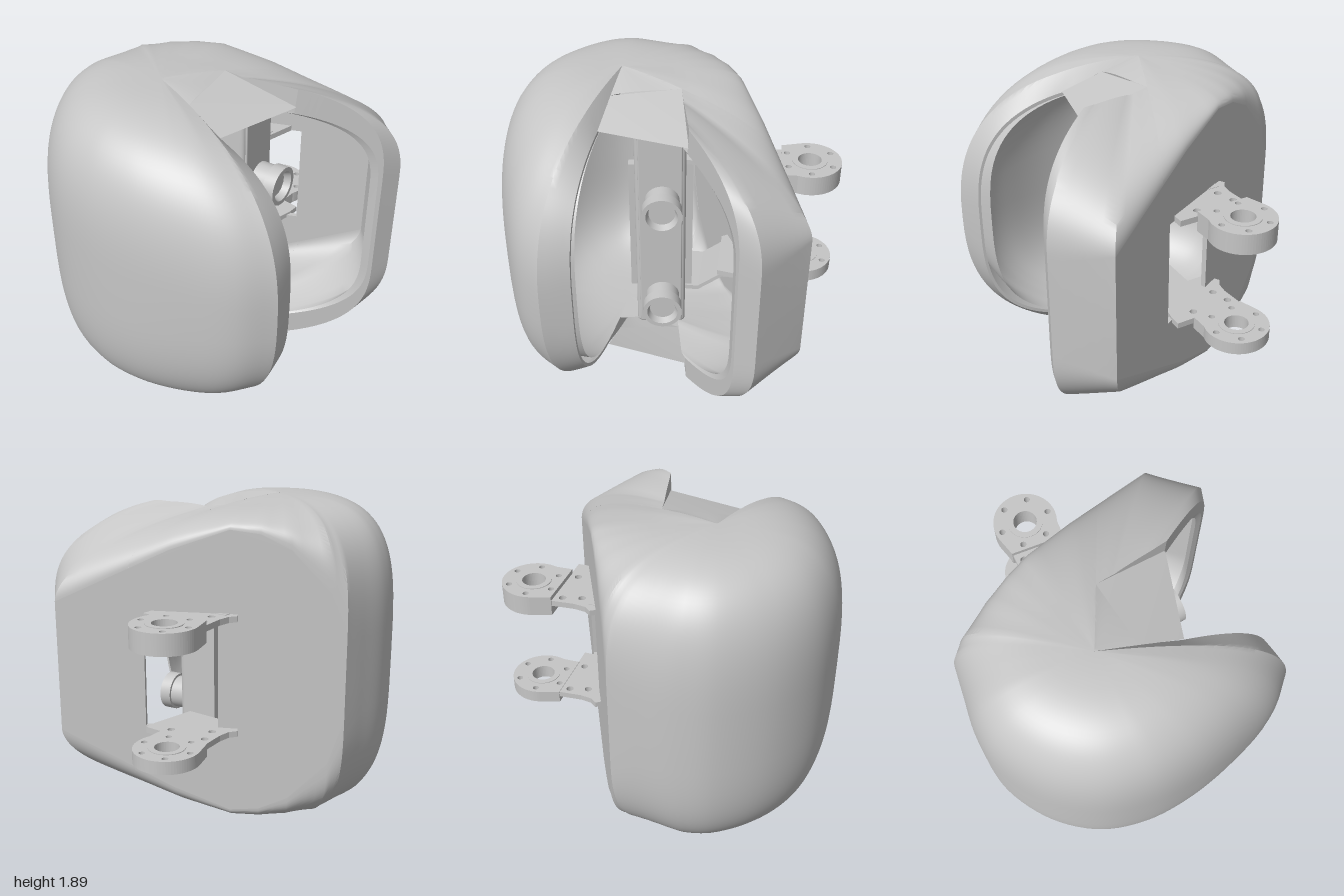
import * as THREE from 'three';
import { mergeGeometries, toCreasedNormals } from 'three/addons/utils/BufferGeometryUtils.js';
import { RoundedBoxGeometry } from 'three/addons/geometries/RoundedBoxGeometry.js';

const MID = 0.948;              // height of the symmetry plane
const CX = -0.18, CZ = 0.3;     // axis from which the shell ribs radiate
const A = { x: -0.03, z: -0.06 }, B = { x: 0.41, z: -0.15 };   // rear edge of the scoop
const RINGS = 26;
const V = (x, y, z) => new THREE.Vector3(x, y, z);
const lerp = THREE.MathUtils.lerp;

// Rib: plan position of its end, half height of its end, roundness, crown height, virtual reach
const rib = (x, z, h, n, H, R) => ({ x, z, h, n, H, R });
const lip = rib(0.85, 0.43, 0, 3.1, 0.81);
const front = [
  rib(0.9, 0.6, 0, 2.6, 0.92), rib(0.75, 0.76, 0, 2.7, 0.94), rib(0.5, 0.88, 0, 3, 0.945),
  rib(0.2, 0.97, 0, 3.3, 0.945), rib(-0.1, 1, 0, 3.5, 0.945), rib(-0.4, 0.945, 0, 3.5, 0.945),
  rib(-0.67, 0.77, 0, 3.5, 0.945), rib(-0.86, 0.5, 0, 3.7, 0.945), rib(-0.905, 0.3, 0, 3.8, 0.945),
  rib(-0.895, 0.08, 0.05, 3.5, 0.945), rib(-0.88, -0.09, 0.22, 3.1, 0.945)];
const back = [
  front[10], rib(-0.8, -0.13, 0.5, 3, 0.945), rib(-0.6, -0.23, 0.73, 2.8, 0.94),
  rib(-0.45, -0.305, 0.81, 2.6, 0.935), rib(-0.3, -0.38, 0.83, 2.4, 0.93),
  rib(0, -0.53, 0.71, 2.1, 0.93), rib(0.2095, -0.6347, 0.598, 1.95, 0.925)];
const backCut = [back[6], rib(0.3, -0.68, 0.55, 1.9, 0.925), rib(0.6, -0.83, 0.39, 1.75, 0.93)];
const rear = [backCut[2], rib(0.86, -0.58, 0.3, 2.6, 0.94), rib(0.82, -0.46, 0.3, 3, 0.95)];
const mouth = [rib(A.x, A.z, 0.598, 1.95, 0.925, 1.0126), rib(0.05, 0.329, 0, 3.1, 0.81, 1.038)];

// Straight blending between ribs
function blend(ribs, steps) {
  const out = [];
  for (let i = 0; i < ribs.length - 1; i++) for (let j = 0; j < steps; j++) {
    const a = ribs[i], b = ribs[i + 1], f = j / steps, r = {};
    for (const k of ['x', 'z', 'h', 'n', 'H']) r[k] = lerp(a[k], b[k], f);
    if (a.R) r.R = lerp(a.R, b.R, f);
    out.push(r);
  }
  return [...out, ribs[ribs.length - 1]];
}

// Curved blending for the round front
function blendSmooth(ribs, steps) {
  const curve = new THREE.CatmullRomCurve3(ribs.map(r => V(r.x, r.h, r.z)));
  const list = blend(ribs, steps);
  list.forEach((r, i) => {
    if (i % steps === 0) return;
    const p = curve.getPoint(i / (list.length - 1));
    r.x = p.x; r.z = p.z; r.h = Math.max(0, p.y);
  });
  return list;
}

// Points along one rib, from the crown (or the scoop edge when cut) to the middle
function ribPoints(r, { inner = false, wall = false, cut = false, k = 0.93 }) {
  const dx = r.x - CX, dz = r.z - CZ, d = Math.hypot(dx, dz);
  const reach = r.R ?? d;
  const angle = dist => Math.asin(Math.pow(Math.min(1, dist / reach), r.n / 2));
  const ex = B.x - A.x, ez = B.z - A.z;
  const edge = d * ((A.x - CX) * ez - (A.z - CZ) * ex) / (dx * ez - dz * ex);
  const start = cut ? angle(edge) : 0, end = angle(d);
  const scale = inner && !r.R ? k : 1, h = inner ? r.h * 0.88 : r.h, pts = [];
  for (let j = 0; j <= RINGS; j++) {
    const a = lerp(start, end, j / RINGS);
    const s = Math.pow(Math.sin(a), 2 / r.n);
    const c = Math.pow(Math.max(0, Math.cos(a)), 2 / r.n);
    const top = inner ? 0.79 : lerp(0.945, r.H, Math.min(1, s / 0.45));
    const q = s * reach * scale / d;
    pts.push(V(CX + dx * q, h + (top - h) * c, CZ + dz * q));
  }
  const last = pts[RINGS];
  pts.push(wall ? V(last.x, 0, last.z) : last.clone());
  return pts;
}

// Skin over columns of points, mirrored about the middle plane
function sheet(cols, flip = false) {
  const pos = [], idx = [], m = cols[0].length, total = cols.length * m;
  for (const sg of [1, -1]) {
    const base = sg > 0 ? 0 : total;
    for (const col of cols) for (const p of col) pos.push(p.x, p.y * sg, p.z);
    for (let i = 0; i < cols.length - 1; i++) for (let j = 0; j < m - 1; j++) {
      const a = base + i * m + j, b = a + 1, c = a + m, d = c + 1;
      if ((sg > 0) !== flip) idx.push(a, b, c, b, d, c);
      else idx.push(a, c, b, b, c, d);
    }
  }
  const g = new THREE.BufferGeometry();
  g.setAttribute('position', new THREE.Float32BufferAttribute(pos, 3));
  g.setIndex(idx);
  return g;
}
const crease = list => toCreasedNormals(mergeGeometries(list).toNonIndexed(), 0.6);

// Flat plate cut from a plan shape (x, -z), standing from y upward
function plate(shape, y, t) {
  const g = new THREE.ExtrudeGeometry(shape, { depth: t, bevelEnabled: false, curveSegments: 24 });
  return g.rotateX(-Math.PI / 2).translate(0, y, 0);
}
function hole(shape, x, z, r) {
  shape.holes.push(new THREE.Path().absarc(x, -z, r, 0, Math.PI * 2, true));
}

export function createModel() {
  const model = new THREE.Group();
  const grey = new THREE.MeshStandardMaterial({ color: 0xc6c6c6, side: THREE.DoubleSide });
  grey.name = 'plain grey';
  const add = (name, geo, parent = model) => {
    const m = new THREE.Mesh(geo, grey);
    m.name = name;
    parent.add(m);
    return m;
  };

  // Shell, outside and inside
  const parts = [
    [blend([lip, front[0]], 4), { wall: true }], [blendSmooth(front, 6), { wall: true }],
    [blend(back, 4), {}], [blend(backCut, 4), { cut: true }],
    [blend(rear, 5), { wall: true, cut: true }], [blend(mouth, 10), {}]];
  const insideScale = r => (r === lip ? 0.985 : r === rear[2] ? 0.98 : 0.93);
  const skin = inner => crease(parts.map(([list, opts]) => sheet(list.map(r =>
    ribPoints(r, { ...opts, inner, k: insideScale(r) })), inner)));
  add('outerShell', skin(false)).position.y = MID;
  add('innerShell', skin(true)).position.y = MID;

  // Rims of the side opening
  const rim = (r, cut) => sheet([false, true].map(inner =>
    ribPoints(r, { inner, cut, wall: true, k: insideScale(r) })));
  add('openingRim', crease([rim(lip, false), rim(rear[2], true)])).position.y = MID;

  // Sunken triangular scoops above and below the opening
  const [tip, side] = mouth.map(r => ribPoints(r, {})[RINGS]);
  const floorEnd = V(B.x, 0.79, B.z), corner = V(0.3, 0.79, 0.36);
  const scoopWall = [...blend(backCut, 4), ...blend(rear, 5)].map(r => {
    const p = ribPoints(r, { cut: true })[0];
    return [p, V(p.x, lerp(tip.y, 0.79, (p.x - A.x) / (B.x - A.x)), p.z)];
  });
  add('scoop', crease([sheet([[tip, floorEnd], [side, corner]], true), sheet(scoopWall)])).position.y = MID;

  // Flat back panel with its window
  const u = x => (x + 0.88) * Math.hypot(1, 0.5);
  const outline = [...back, ...backCut.slice(1)].map(r => new THREE.Vector2(u(r.x), r.h));
  const mirrored = outline.map(p => new THREE.Vector2(p.x, -p.y)).reverse();
  const panel = new THREE.Shape([...outline, ...mirrored]);
  panel.holes.push(new THREE.Path([[-0.24, -0.33], [0.14, -0.33], [0.14, 0.33], [-0.24, 0.33]]
    .map(([x, y]) => new THREE.Vector2(u(x), y))));
  const panelMesh = add('backPanel', new THREE.ExtrudeGeometry(panel, { depth: 0.03, bevelEnabled: false }));
  panelMesh.position.set(-0.88, MID, -0.09);
  panelMesh.rotation.y = Math.atan(0.5);

  // Twin lens bar
  const bar = new THREE.Group();
  bar.name = 'lensBar';
  bar.position.set(0.17, 0, 0.035);
  bar.rotation.y = 0.12;
  model.add(bar);
  add('barBody', new RoundedBoxGeometry(0.22, 1.36, 0.29, 3, 0.025), bar).position.set(0, 1.055, 0);
  add('barFace', new RoundedBoxGeometry(0.02, 1.32, 0.25, 2, 0.008), bar).position.set(0.11, 1.055, 0);
  add('barMount', new THREE.BoxGeometry(0.05, 0.9, 0.38), bar).position.set(-0.13, 0.95, 0);
  const lens = [[0, 0.1], [0.1, 0.1], [0.1, 0.115], [0.17, 0.115], [0.17, 0.09], [0.13, 0.075], [0.13, 0]]
    .map(([y, r]) => new THREE.Vector2(r, y));
  for (const y of [1.3, 0.604]) {
    const g = toCreasedNormals(new THREE.LatheGeometry(lens, 36).rotateZ(-Math.PI / 2), 0.5);
    add('lens', g, bar).position.set(0.11, y, -0.01);
  }

  // Hinge brackets, upper and lower
  for (const [name, sg, discY, discT, baseY] of [
    ['upperBracket', 1, 1.214, 0.123, 1.275], ['lowerBracket', -1, 0.56, 0.076, 0.598]]) {
    const bracket = new THREE.Group();
    bracket.name = name;
    model.add(bracket);

    // Bearing disc with bolt circle
    const disc = new THREE.Shape();
    disc.absarc(-0.19, 0.81, 0.19, -0.35, Math.PI + 0.35, false);
    disc.lineTo(-0.335, 0.64);
    disc.lineTo(-0.01, 0.64);
    hole(disc, -0.19, -0.81, 0.075);
    for (let i = 0; i < 6; i++) {
      const a = 0.1 + i * Math.PI / 3;
      hole(disc, -0.19 + 0.15 * Math.cos(a), -0.81 - 0.15 * Math.sin(a), 0.018);
    }
    add('bearingDisc', plate(disc, discY, discT), bracket);
    const ring = new THREE.Shape().absarc(-0.19, 0.81, 0.105, 0, Math.PI * 2);
    hole(ring, -0.19, -0.81, 0.07);
    add('bearingRing', plate(ring, discY - 0.004, discT + 0.008), bracket);

    // Base plate reaching through the window
    const base = new THREE.Shape([[-0.3, 0.3], [0.05, 0.3], [0.1, 0.57], [0.1, 0.645], [-0.33, 0.645],
      [-0.32, 0.5], [-0.33, 0.43], [-0.36, 0.39]].map(([x, y]) => new THREE.Vector2(x, y)));
    for (const [x, z] of [[-0.28, -0.59], [-0.04, -0.59], [-0.25, -0.48]]) hole(base, x, z, 0.022);
    add('basePlate', plate(base, baseY, 0.035), bracket);

    // Cranked arm to the lens bar
    const path = [[0.1, 0.455], [-0.18, 0.455], [-0.33, 0.335], [-0.42, 0.335]];
    const arm = new THREE.Shape([...path.map(([z, y]) => new THREE.Vector2(-z, sg * y)),
      ...path.slice().reverse().map(([z, y]) => new THREE.Vector2(-z, sg * (y + 0.03)))]);
    const g = new THREE.ExtrudeGeometry(arm, { depth: 0.35, bevelEnabled: false });
    add('arm', g.rotateY(Math.PI / 2).translate(-0.3, MID, 0), bracket);
  }
  return model;
}
